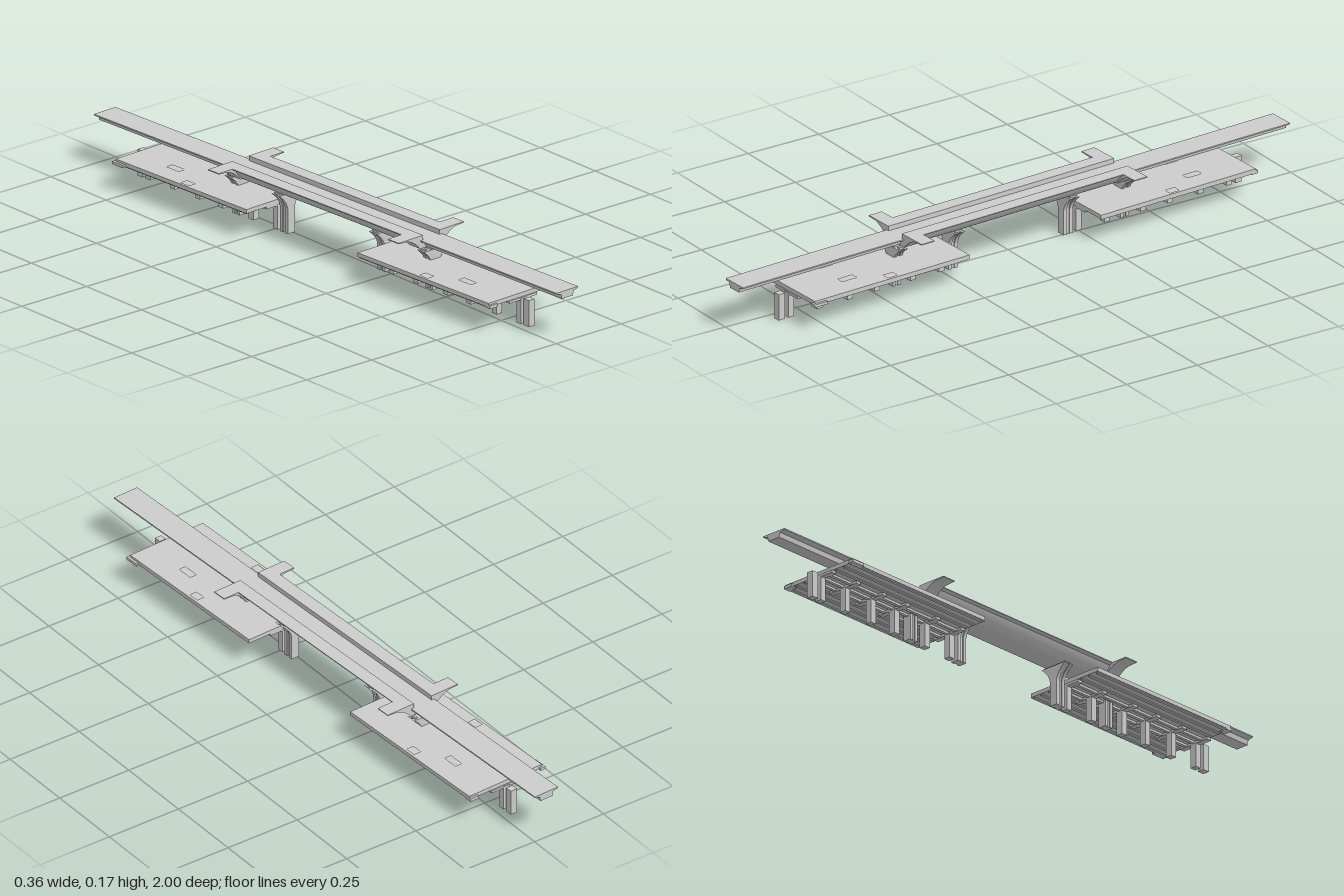
import * as THREE from 'three';

const mat = new THREE.MeshStandardMaterial({ color: 0xcccccc, flatShading: true });

function add(parent, name, geo, x = 0, y = 0, z = 0) {
  const m = new THREE.Mesh(geo, mat);
  m.name = name;
  m.position.set(x, y, z);
  parent.add(m);
  return m;
}

// box given by its limits
function box(parent, name, x0, x1, y0, y1, z0, z1) {
  return add(parent, name, new THREE.BoxGeometry(x1 - x0, y1 - y0, z1 - z0),
    (x0 + x1) / 2, (y0 + y1) / 2, (z0 + z1) / 2);
}

// right half of a cross-section, mirrored and swept along z
function sweep(parent, name, half, z0, z1) {
  const pts = half.map(([x, y]) => new THREE.Vector2(x, y));
  const left = half.filter(p => p[0] > 0).reverse().map(([x, y]) => new THREE.Vector2(-x, y));
  const geo = new THREE.ExtrudeGeometry(new THREE.Shape([...pts, ...left]), { depth: z1 - z0, bevelEnabled: false });
  return add(parent, name, geo, 0, 0, z0);
}

// points on a quarter-like curve from a to b, bent toward c
function arc(a, c, b, n = 8) {
  const v = p => new THREE.Vector2(p[0], p[1]);
  return new THREE.QuadraticBezierCurve(v(a), v(c), v(b)).getPoints(n).map(p => [p.x, p.y]);
}

// flaring pier made of two outer blades and a recessed core
function pier(parent, z, zHalf) {
  const g = new THREE.Group();
  g.name = 'flaredPier';
  const profile = w => [[w, 0], [w, 0.075], ...arc([w, 0.08], [w + 0.004, 0.105], [w + 0.034, 0.127])];
  sweep(g, 'pierBlade', profile(0.014), z - zHalf, z - zHalf * 0.3);
  sweep(g, 'pierBlade', profile(0.014), z + zHalf * 0.3, z + zHalf);
  sweep(g, 'pierCore', profile(0.01), z - zHalf * 0.35, z + zHalf * 0.35);
  for (const x of [-0.036, -0.012, 0.012, 0.036]) {
    box(g, 'bearing', x - 0.004, x + 0.004, 0.126, 0.133, z - zHalf * 0.7, z + zHalf * 0.7);
  }
  parent.add(g);
}

// one end of the bridge: lower platform, its columns, approach deck and piers
function createEnd() {
  const end = new THREE.Group();
  end.name = 'bridgeEnd';

  // platform slab with four stair recesses
  const W = 0.136, Z0 = 0.24, Z1 = 0.805;
  const rect = (path, x0, x1, z0, z1) => path.moveTo(x0, -z0).lineTo(x1, -z0).lineTo(x1, -z1).lineTo(x0, -z1).closePath();
  const slab = rect(new THREE.Shape(), -W, W, Z0, Z1);
  for (const s of [-1, 1]) {
    for (const [x, z, w, d] of [[0.058, 0.63, 0.011, 0.026], [0.115, 0.515, 0.012, 0.017]]) {
      slab.holes.push(rect(new THREE.Path(), s * x - w, s * x + w, z - d, z + d));
    }
  }
  const geo = new THREE.ExtrudeGeometry(slab, { depth: 0.01, bevelEnabled: false });
  geo.rotateX(-Math.PI / 2);
  add(end, 'platformSlab', geo, 0, 0.086, 0);
  box(end, 'platformSoffit', -W, W, 0.083, 0.086, Z0, Z1);

  // ribs under the platform
  for (let i = -4; i <= 4; i++) {
    const x = i * 0.032, h = Math.abs(i) < 2 ? 0.076 : 0.08;
    box(end, 'platformRib', x - 0.005, x + 0.005, h, 0.083, Z0 + 0.005, Z1 - 0.005);
  }
  box(end, 'cornerLedge', W - 0.01, W + 0.008, 0.08, 0.089, 0.765, 0.812);
  box(end, 'cornerLedge', -W, -W + 0.03, 0.08, 0.09, 0.79, 0.812);

  // row of columns with cross-heads
  for (const z of [0.25, 0.355, 0.485, 0.585, 0.695, 0.8]) {
    box(end, 'platformColumn', -0.011, 0.011, 0, 0.08, z - 0.01, z + 0.01);
    box(end, 'crossHead', -0.055, 0.055, 0.075, 0.083, z - 0.009, z + 0.009);
  }
  box(end, 'endColumn', -0.011, 0.011, 0, 0.083, 0.822, 0.845);

  // approach deck: thin slab over a box girder
  sweep(end, 'approachDeck', [
    [0.022, 0.135], [0.025, 0.15], [0.043, 0.154], [0.043, 0.158],
  ], 0.405, 0.999);

  // wide bracket at the end of the main span
  sweep(end, 'wingBracket', [
    [0.033, 0.157], [0.033, 0.132], [0.044, 0.132],
    ...arc([0.046, 0.134], [0.068, 0.16], [0.096, 0.168]),
    [0.131, 0.17], [0.131, 0.173], [0.033, 0.173], [0.033, 0.158],
  ], 0.365, 0.412);

  pier(end, 0.21, 0.017);
  pier(end, 0.416, 0.015);
  return end;
}

export function createModel() {
  const model = new THREE.Group();
  model.name = 'stationBridge';
  const bridge = new THREE.Group();
  bridge.name = 'bridge';
  bridge.rotation.y = 0.045;
  model.add(bridge);

  // main span: trough deck on a curved hull
  sweep(bridge, 'mainSpan', [
    [0.024, 0.131],
    ...arc([0.036, 0.132], [0.052, 0.142], [0.066, 0.166]),
    [0.077, 0.17], [0.077, 0.173], [0.033, 0.173], [0.033, 0.158],
  ], -0.41, 0.41);

  // two identical ends, turned about the middle
  for (let i = 0; i < 2; i++) {
    const end = createEnd();
    end.rotation.y = i * Math.PI;
    bridge.add(end);
  }
  return model;
}
